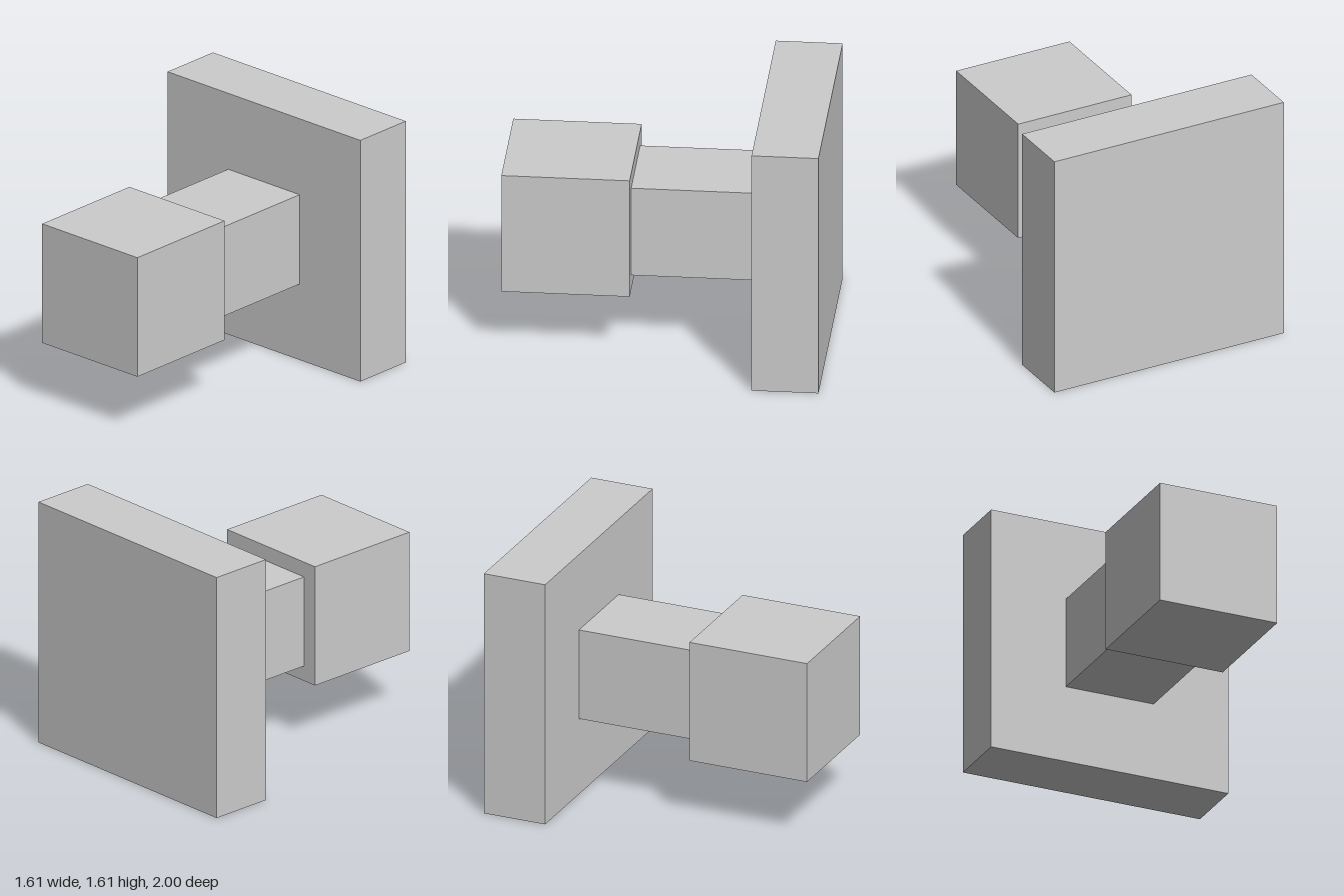
import * as THREE from 'three';

const CENTER_Y = 0.806;

export function createModel() {
  const model = new THREE.Group();
  const material = new THREE.MeshStandardMaterial({ color: 0xcccccc, flatShading: true });

  // Square block centred on the shared axis, running from zBack to zFront
  function addBlock(name, size, zBack, zFront) {
    const block = new THREE.Mesh(new THREE.BoxGeometry(size, size, zFront - zBack), material);
    block.name = name;
    block.position.set(0, CENTER_Y, (zBack + zFront) / 2);
    model.add(block);
  }

  addBlock('backPlate', 1.612, -1, -0.586);
  addBlock('neck', 0.597, -0.586, 0.206);
  addBlock('head', 0.796, 0.206, 1);

  return model;
}
